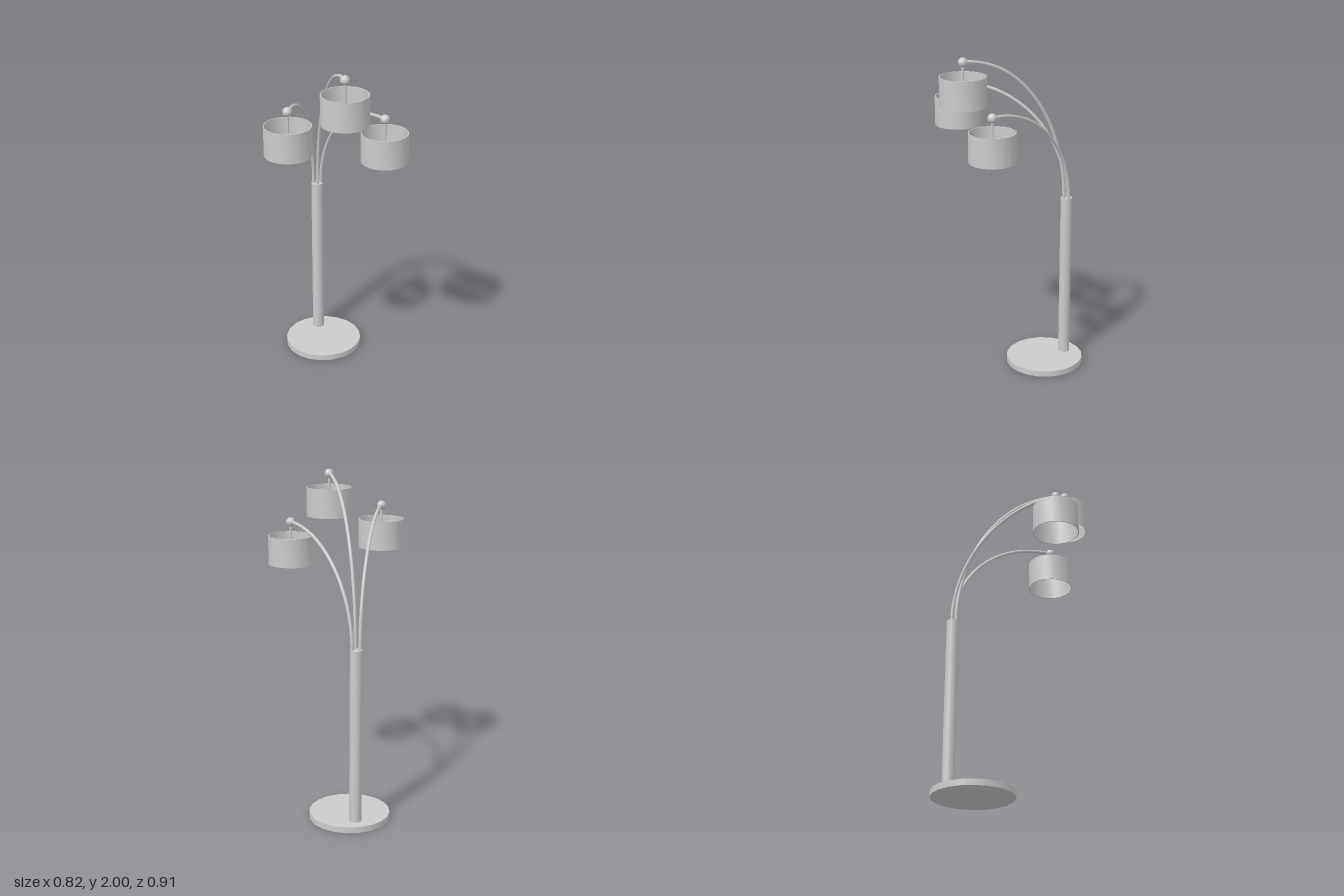
import * as THREE from 'three';
import { toCreasedNormals } from 'three/addons/utils/BufferGeometryUtils.js';

const material = new THREE.MeshStandardMaterial({ color: 0xcccccc });
const TURN = 0.511; // the lamp is turned about its upright axis
const POLE = { x: -0.243, z: -0.34, top: 1.075 };
const SHADE_R = 0.136, SHADE_H = 0.172;

function add(parent, name, geometry, x = 0, y = 0, z = 0) {
  const mesh = new THREE.Mesh(geometry, material);
  mesh.name = name;
  mesh.position.set(x, y, z);
  parent.add(mesh);
  return mesh;
}

// Quarter-ellipse rising from the pole and levelling out above the shade
class ArmCurve extends THREE.Curve {
  constructor(start, end) {
    super();
    this.start = start;
    this.end = end;
  }
  getPoint(t, target = new THREE.Vector3()) {
    const a = t * Math.PI / 2, out = 1 - Math.cos(a), up = Math.sin(a);
    const { start: s, end: e } = this;
    return target.set(s.x + (e.x - s.x) * out, s.y + (e.y - s.y) * up, s.z + (e.z - s.z) * out);
  }
}

// Open drum with a thin wall
function shadeGeometry() {
  const inner = SHADE_R - 0.005;
  const profile = [[SHADE_R, 0], [SHADE_R, SHADE_H], [inner, SHADE_H], [inner, 0], [SHADE_R, 0]]
    .map(([r, y]) => new THREE.Vector2(r, y));
  return toCreasedNormals(new THREE.LatheGeometry(profile, 20), 0.6);
}

// Curved arm with end ball, hanging stem and shade
function createBranch(name, start, end) {
  const branch = new THREE.Group();
  branch.name = name;
  const { x, y, z } = end;
  add(branch, 'arm', new THREE.TubeGeometry(new ArmCurve(start, end), 40, 0.01, 10, false));
  add(branch, 'ball', new THREE.SphereGeometry(0.027, 20, 14), x, y, z);
  add(branch, 'stem', new THREE.CylinderGeometry(0.008, 0.008, 0.15, 12), x, y - 0.075, z);
  add(branch, 'shade', shadeGeometry(), x, y - 0.08 - SHADE_H, z).rotation.y = TURN;
  return branch;
}

export function createModel() {
  const lamp = new THREE.Group();
  lamp.name = 'floorLamp';

  // Round foot and upright pole
  add(lamp, 'base', new THREE.CylinderGeometry(0.24, 0.24, 0.036, 20), -0.174, 0.018, -0.217).rotation.y = TURN;
  add(lamp, 'pole', new THREE.CylinderGeometry(0.036, 0.036, POLE.top - 0.03, 20),
    POLE.x, (POLE.top + 0.03) / 2, POLE.z).rotation.y = TURN;

  // Three arms: offset inside the pole, then the ball position
  const branches = [
    ['rightBranch', [-0.02, 0.004], [-0.217, 1.79, 0.318]],
    ['middleBranch', [0.009, 0.016], [0.09, 1.976, 0.253]],
    ['leftBranch', [0.02, -0.014], [0.275, 1.705, 0.075]],
  ];
  for (const [name, [dx, dz], end] of branches) {
    const start = new THREE.Vector3(POLE.x + dx, POLE.top - 0.01, POLE.z + dz);
    lamp.add(createBranch(name, start, new THREE.Vector3(...end)));
  }
  return lamp;
}
